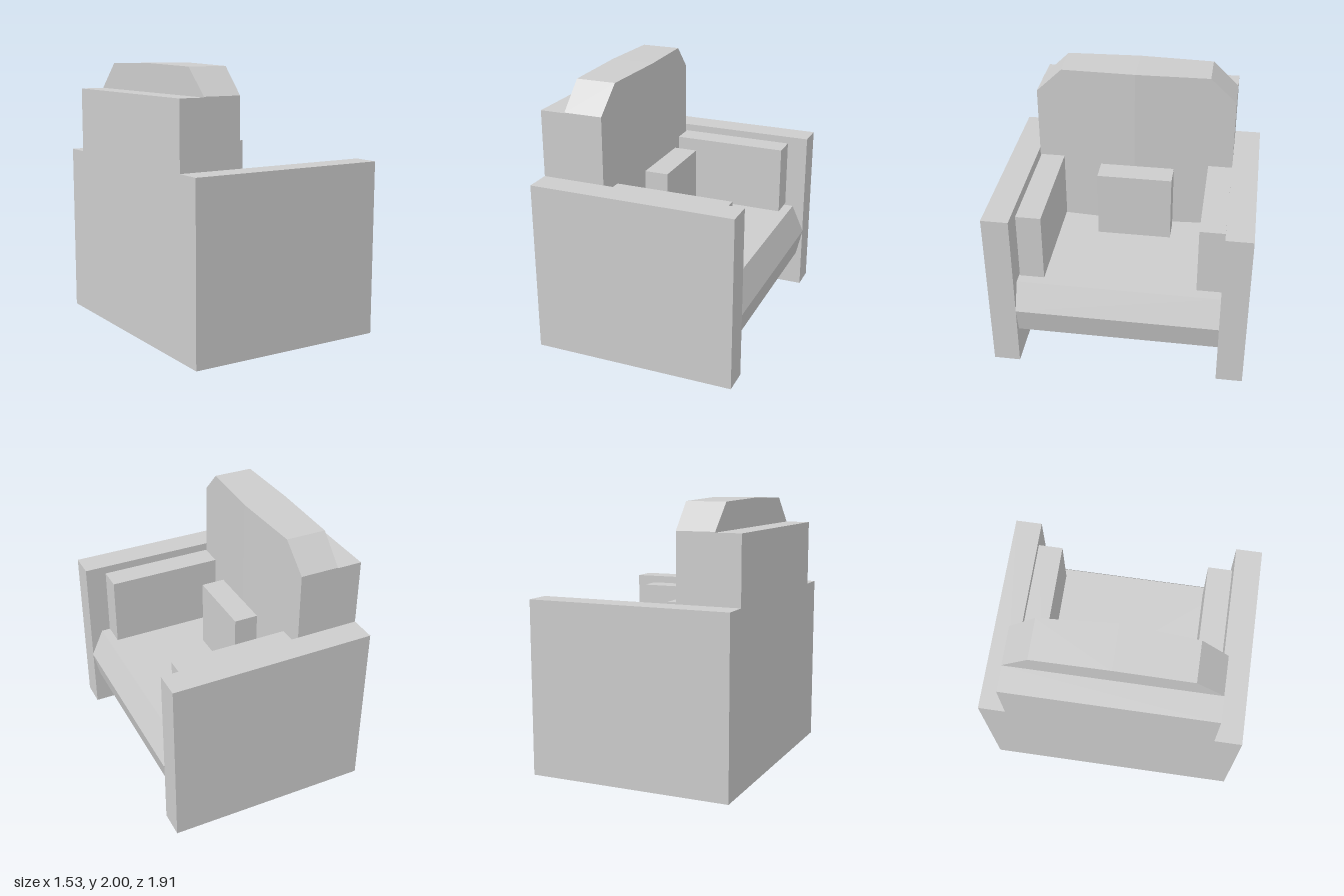
import * as THREE from 'three';

export function createModel() {
  const chair = new THREE.Group();
  chair.name = 'armchair';
  const upholstery = new THREE.MeshStandardMaterial({ color: 0xcccccc });
  upholstery.name = 'light grey';

  const add = (name, geometry) => {
    const mesh = new THREE.Mesh(geometry, upholstery);
    mesh.name = name;
    chair.add(mesh);
  };
  // Box given by its lower and upper limits on each axis
  const addBox = (name, [x0, x1], [y0, y1], [z0, z1]) => {
    const g = new THREE.BoxGeometry(x1 - x0, y1 - y0, z1 - z0);
    g.translate((x0 + x1) / 2, (y0 + y1) / 2, (z0 + z1) / 2);
    add(name, g);
  };
  const extrude = (points, depth) => new THREE.ExtrudeGeometry(
    new THREE.Shape(points.map(([x, y]) => new THREE.Vector2(x, y))),
    { depth, bevelEnabled: false });

  // Frame: two side panels and a taller back panel
  addBox('sidePanelNear', [-0.765, 0.76], [0, 1.295], [0.758, 0.957]);
  addBox('sidePanelFar', [-0.765, 0.76], [0, 1.295], [-0.957, -0.758]);
  addBox('backPanel', [-0.765, -0.577], [0, 1.79], [-0.758, 0.758]);

  // Seat cushion with a wedge-shaped nose
  const seat = extrude([
    [-0.577, 0.28], [0.715, 0.28], [0.763, 0.49], [0.667, 0.7], [-0.577, 0.7],
  ], 1.516);
  seat.translate(0, 0, -0.758);
  add('seatCushion', seat);

  // Back cushion: two mirrored halves whose front swells to a central ridge
  for (const side of [-1, 1]) {
    const outline = [[0, 0.7], [0.758, 0.7], [0.758, 1.795], [0.56, 1.988], [0, 2]];
    const half = extrude(outline.map(([z, y]) => [-side * z, y]), 1);
    half.rotateY(Math.PI / 2);
    const p = half.attributes.position;
    for (let i = 0; i < p.count; i++) {
      const front = -0.243 - 0.063 * Math.abs(p.getZ(i));
      p.setX(i, p.getX(i) > 0.5 ? front : -0.577);
    }
    half.computeVertexNormals();
    add(side > 0 ? 'backCushionNear' : 'backCushionFar', half);
  }

  // Loose cushions along the arms and a small one against the back
  addBox('armCushionNear', [-0.28, 0.603], [0.71, 1.24], [0.563, 0.748]);
  addBox('armCushionFar', [-0.28, 0.603], [0.715, 1.24], [-0.757, -0.572]);
  addBox('lumbarCushion', [-0.2, -0.02], [0.715, 1.24], [-0.312, 0.257]);

  return chair;
}
